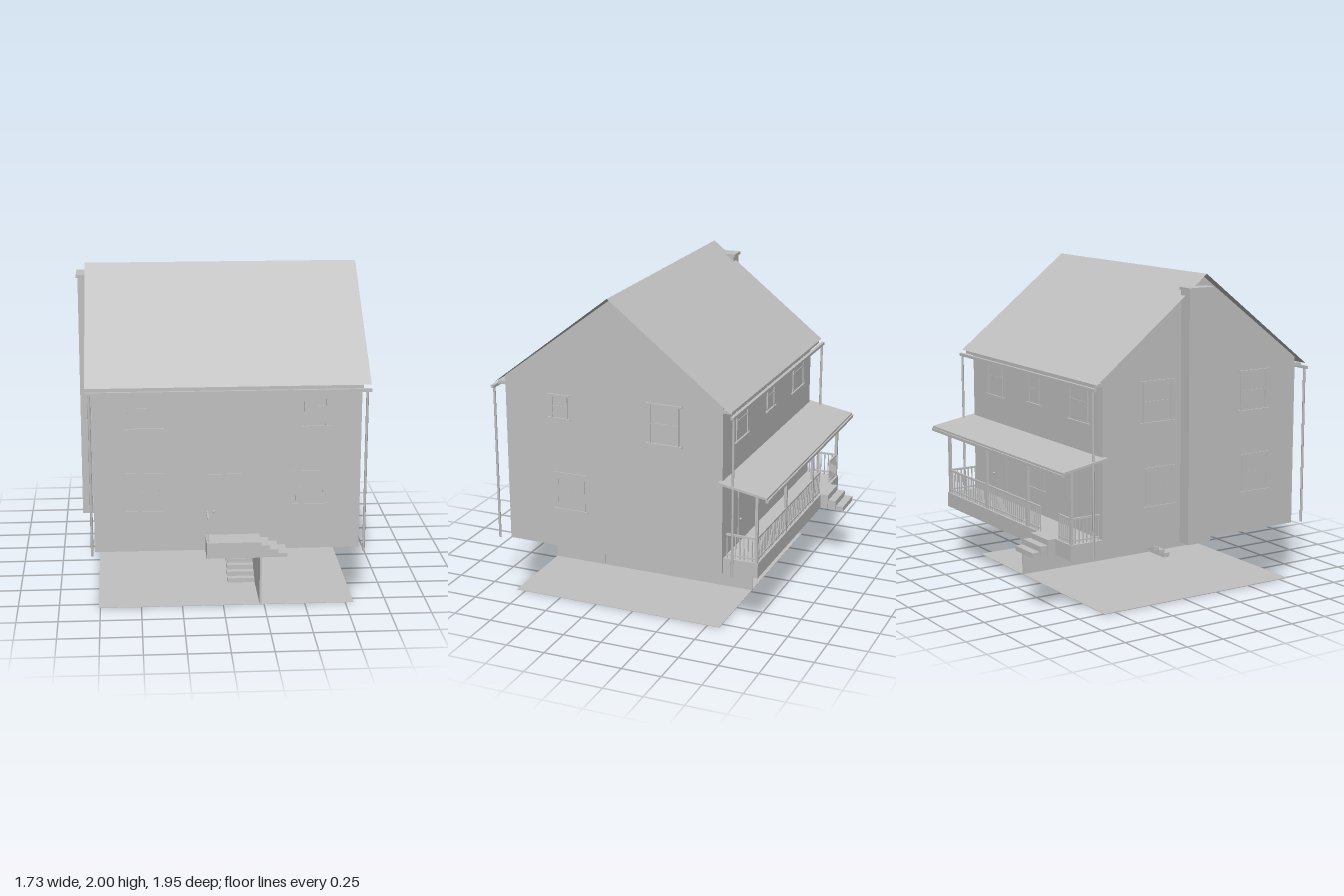
import * as THREE from 'three';

export function createModel() {
  const house = new THREE.Group();
  house.name = 'house';
  const grey = new THREE.MeshStandardMaterial({ color: 0xc0c0c0, side: THREE.DoubleSide });
  grey.name = 'plain grey';

  function add(geo, name, parent = house) {
    const m = new THREE.Mesh(geo, grey);
    m.name = name;
    parent.add(m);
    return m;
  }
  // Box given by its lower and upper limits on each axis
  function box(name, x0, x1, y0, y1, z0, z1, parent = house) {
    const g = new THREE.BoxGeometry(x1 - x0, y1 - y0, z1 - z0);
    g.translate((x0 + x1) / 2, (y0 + y1) / 2, (z0 + z1) / 2);
    return add(g, name, parent);
  }
  // Profile of [z, y] points extruded along x
  function profile(name, pts, x0, x1) {
    const s = new THREE.Shape(pts.map(([z, y]) => new THREE.Vector2(-z, y)));
    const g = new THREE.ExtrudeGeometry(s, { depth: x1 - x0, bevelEnabled: false });
    g.rotateY(Math.PI / 2).translate(x0, 0, 0);
    return add(g, name);
  }

  const W = { left: -0.775, right: 0.82, front: 0.825, back: -0.6 };

  // Two storeys, the upper one with gables
  box('lowerStorey', W.left, W.right, 0.37, 0.965, W.back, W.front);
  profile('upperStorey', [[W.back, 0.965], [W.front, 0.965], [W.front, 1.44], [0.11, 1.985], [W.back, 1.44]], W.left, W.right);

  // Roof sheets, eave gutters and downspouts
  for (const s of [1, -1]) {
    const slope = new THREE.PlaneGeometry(1.68, Math.hypot(0.77, 0.6));
    slope.rotateX(-s * Math.atan2(0.77, 0.6));
    slope.translate(0.025, 1.7, 0.11 + s * 0.385);
    if (s < 0) slope.index.array.reverse();
    slope.computeVertexNormals();
    add(slope, s > 0 ? 'frontRoof' : 'backRoof');
    const gz = 0.11 + s * 0.782;
    box('gutter', -0.815, 0.865, 1.362, 1.38, gz - 0.01, gz + 0.01);
    box('eaveBoard', W.left, W.right, 1.38, 1.4, s > 0 ? W.front : -0.655, s > 0 ? 0.875 : W.back);
    for (const x of [-0.79, 0.84]) {
      const pipe = add(new THREE.CylinderGeometry(0.008, 0.008, 1.0, 8), 'downspout');
      pipe.position.set(x, 0.87, gz);
    }
  }

  // Chimney
  box('chimney', -0.86, -0.77, 0.37, 1.91, -0.045, 0.12);
  box('chimneyCap', -0.87, -0.765, 1.91, 1.928, -0.055, 0.13);

  // Wall frames: local x runs along the wall, local z points outwards
  function onWall(side, name) {
    const g = new THREE.Group();
    g.name = name;
    const turn = { front: 0, right: Math.PI / 2, back: Math.PI, left: -Math.PI / 2 };
    g.rotation.y = turn[side];
    if (side === 'front' || side === 'back') g.position.z = W[side];
    else g.position.x = W[side];
    house.add(g);
    return g;
  }
  const flip = { front: 1, back: -1, right: -1, left: 1 };
  function windowUnit(side, a, b, y0, y1, proud = 0.008) {
    const g = onWall(side, 'window');
    const [l, r] = [a * flip[side], b * flip[side]].sort((p, q) => p - q);
    const t = 0.01, mid = (y0 + y1) / 2;
    box('pane', l, r, y0, y1, 0, 0.002, g);
    box('jamb', l, l + t, y0, y1, 0, proud, g);
    box('jamb', r - t, r, y0, y1, 0, proud, g);
    box('meetingRail', l, r, mid - 0.005, mid + 0.005, 0, proud * 0.7, g);
    box('head', l - 0.02, r + 0.02, y1, y1 + 0.008, 0, proud + 0.003, g);
    box('sill', l - 0.02, r + 0.02, y0 - 0.008, y0, 0, proud + 0.005, g);
  }
  function door(side, a, b, y0, y1) {
    const g = onWall(side, 'door');
    const [l, r] = [a * flip[side], b * flip[side]].sort((p, q) => p - q);
    box('doorLeaf', l, r, y0, y1, 0, 0.004, g);
    box('doorHead', l - 0.01, r + 0.01, y1, y1 + 0.01, 0, 0.008, g);
    const knob = add(new THREE.SphereGeometry(0.008, 10, 8), 'knob', g);
    knob.position.set(l + 0.02, y0 + 0.15, 0.01);
  }

  // Upper windows
  windowUnit('front', -0.565, -0.375, 1.14, 1.38);
  windowUnit('front', 0.475, 0.615, 1.14, 1.38);
  windowUnit('right', 0.405, 0.515, 1.215, 1.355);
  windowUnit('right', -0.325, -0.135, 1.14, 1.38);
  windowUnit('back', 0.42, 0.61, 1.14, 1.38);
  windowUnit('back', -0.05, 0.08, 1.165, 1.345);
  windowUnit('back', -0.62, -0.41, 1.14, 1.38);
  windowUnit('left', -0.32, -0.11, 1.14, 1.38);
  windowUnit('left', 0.4, 0.6, 1.14, 1.38);

  // Lower windows sit almost flush
  windowUnit('front', -0.565, -0.375, 0.625, 0.855, 0.004);
  windowUnit('front', 0.43, 0.605, 0.655, 0.855, 0.004);
  windowUnit('right', 0.3, 0.49, 0.625, 0.855, 0.004);
  windowUnit('back', -0.1, 0.1, 0.625, 0.855, 0.004);
  windowUnit('left', -0.3, -0.1, 0.625, 0.855, 0.004);
  windowUnit('left', 0.42, 0.62, 0.625, 0.855, 0.004);
  door('front', -0.08, 0.1, 0.468, 0.84);
  door('back', 0.38, 0.56, 0.468, 0.84);

  // Railing between two points on a deck
  function railing(x0, z0, x1, z1) {
    const g = new THREE.Group();
    g.name = 'railing';
    house.add(g);
    const len = Math.hypot(x1 - x0, z1 - z0), n = Math.max(2, Math.round(len / 0.025));
    const e = 0.006;
    for (const [y, h] of [[0.61, 0.012], [0.482, 0.008]])
      box('rail', Math.min(x0, x1) - e, Math.max(x0, x1) + e, y, y + h, Math.min(z0, z1) - e, Math.max(z0, z1) + e, g);
    for (let i = 0; i <= n; i++) {
      const x = x0 + (x1 - x0) * i / n, z = z0 + (z1 - z0) * i / n;
      box('baluster', x - 0.003, x + 0.003, 0.465, 0.61, z - 0.003, z + 0.003, g);
    }
  }

  // Front stoop with side steps
  box('stoop', -0.11, 0.215, 0.37, 0.467, W.front, 0.975);
  for (let i = 0; i < 3; i++)
    box('stoopStep', 0.215 + i * 0.052, 0.267 + i * 0.052, 0.37, 0.443 - i * 0.024, W.front, 0.97);
  railing(-0.1, 0.84, -0.1, 0.968);

  // Back porch: deck, steps, posts, railings and lean-to roof
  box('porchDeck', W.left, 0.8, 0.37, 0.465, -0.82, W.back);
  for (let i = 0; i < 3; i++)
    box('porchStep', -0.6, -0.395, 0.37, 0.465 - i * 0.032, -0.87 - i * 0.053, -0.82 - i * 0.053);
  for (const x of [0.785, 0.27, -0.25, -0.76])
    box('porchPost', x - 0.009, x + 0.009, 0.465, 0.915, -0.814, -0.796);
  railing(0.785, -0.805, -0.4, -0.805);
  railing(-0.62, -0.805, -0.76, -0.805);
  for (const x of [0.785, -0.76]) railing(x, -0.62, x, -0.805);
  profile('porchRoof', [[-0.585, 0.965], [-0.89, 0.912], [-0.89, 0.898], [-0.585, 0.95]], -0.81, 0.855);
  box('porchGutter', -0.81, 0.855, 0.882, 0.9, -0.9, -0.88);

  // Basement floor, partition with door, and stairs
  box('basementFloor', -0.76, 0.8, 0, 0.003, -0.578, 0.81);
  box('partition', 0.222, 0.234, 0.003, 0.37, -0.578, 0.81);
  box('basementDoor', 0.234, 0.24, 0.01, 0.36, 0.45, 0.605);
  const knob = add(new THREE.SphereGeometry(0.009, 10, 8), 'basementKnob');
  knob.position.set(0.244, 0.17, 0.468);
  const steps = 13, rise = 0.367 / steps;
  for (let i = 0; i < steps; i++)
    box('basementStep', 0.05, 0.22, 0.003 + i * rise, 0.003 + (i + 1) * rise, 0.41 - i * 0.042, 0.455 - i * 0.042);

  return house;
}
